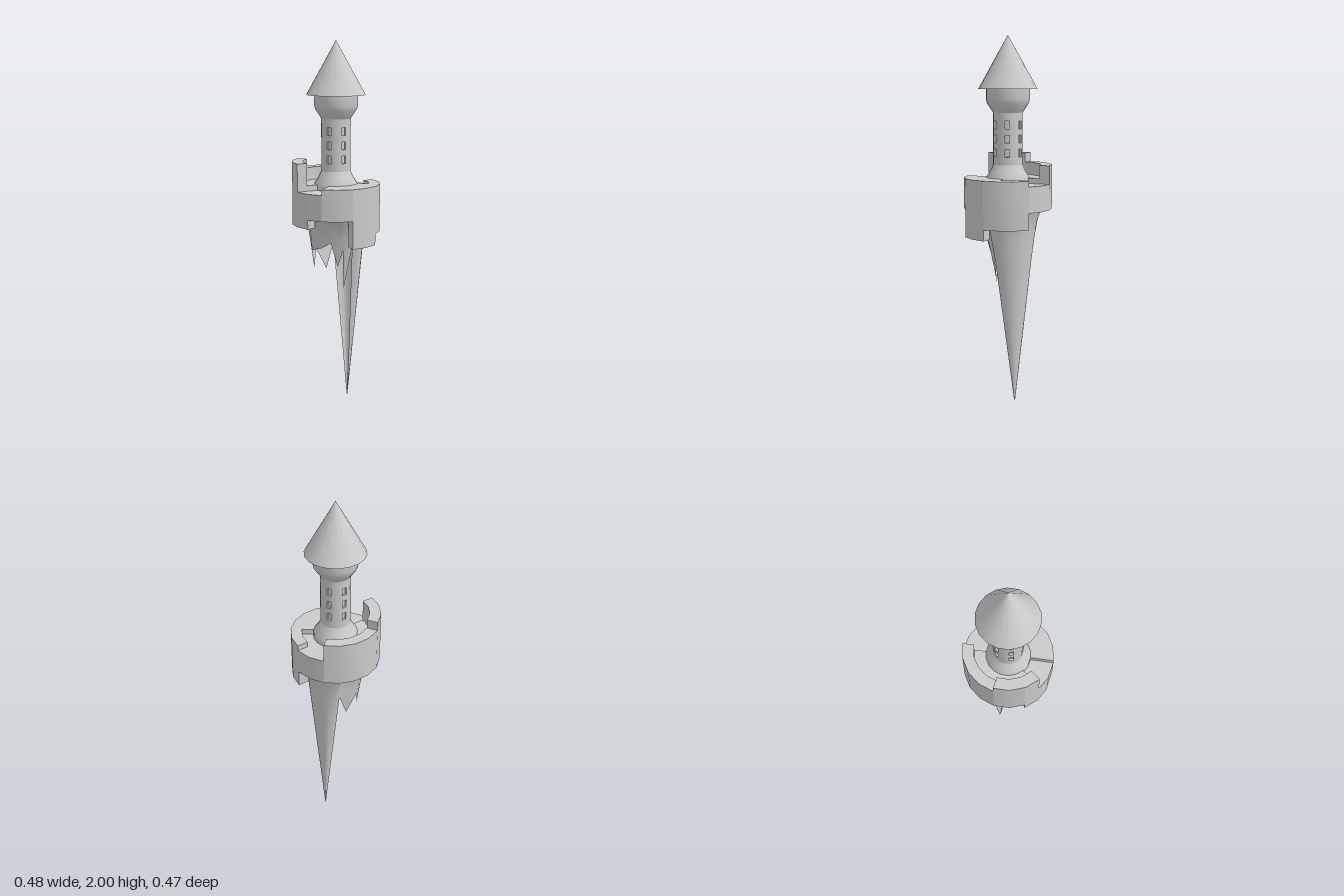
import * as THREE from 'three';
import { toCreasedNormals } from 'three/addons/utils/BufferGeometryUtils.js';

const SIDES = 18;
const rad = THREE.MathUtils.degToRad;
const grey = new THREE.MeshStandardMaterial({ color: 0xcccccc });
const greyThin = new THREE.MeshStandardMaterial({ color: 0xcccccc, side: THREE.DoubleSide });

function add(parent, name, geometry, material = grey) {
  const mesh = new THREE.Mesh(geometry, material);
  mesh.name = name;
  parent.add(mesh);
  return mesh;
}

// Faceted ring sector; angles in degrees from +x towards +z
function sector(a0, a1, r0, r1, y0, y1) {
  const pts = [];
  const point = (r, a) => pts.push(new THREE.Vector2(r * Math.cos(rad(a)), -r * Math.sin(rad(a))));
  for (let a = a0; a <= a1; a += 20) point(r1, a);
  for (let a = a1; a >= a0; a -= 20) point(r0, a);
  const geo = new THREE.ExtrudeGeometry(new THREE.Shape(pts), { depth: y1 - y0, bevelEnabled: false });
  geo.rotateX(-Math.PI / 2).translate(0, y0, 0);
  return toCreasedNormals(geo, 0.6);
}

// Surface of revolution with its corners on multiples of 20 degrees
function turned(profile, start = Math.PI / 2, length = Math.PI * 2, segments = SIDES) {
  const pts = profile.map(([r, y]) => new THREE.Vector2(r, y));
  return toCreasedNormals(new THREE.LatheGeometry(pts, segments, start, length), 0.6);
}

// Broken ring wall: [from, to, bottom, top]
function buildWall() {
  const wall = new THREE.Group();
  wall.name = 'ringWall';
  [
    [-40, 20, 0.98, 1.24], [20, 60, 0.92, 1.24], [60, 100, 1.07, 1.24],
    [100, 120, 1.07, 1.21], [120, 140, 1.02, 1.21], [140, 160, 1.02, 1.36],
    [160, 200, 1.07, 1.36], [200, 280, 1.07, 1.31], [280, 320, 1.07, 1.21],
  ].forEach(([a0, a1, y0, y1]) => add(wall, 'wallSection', sector(a0, a1, 0.18, 0.24, y0, y1)));
  // Floor slabs between wall and tower
  [
    [-80, 0, 1.21], [0, 100, 1.24], [100, 140, 1.21], [140, 280, 1.24],
  ].forEach(([a0, a1, y1]) => add(wall, 'floorSlab', sector(a0, a1, 0.1, 0.18, 1.07, y1)));
  return wall;
}

function buildTower() {
  const tower = new THREE.Group();
  tower.name = 'tower';
  const r = 0.08, y0 = 1.31, y1 = 1.59;
  add(tower, 'towerBase', turned([[0, 1.07], [0.118, 1.07], [0.118, 1.24], [0.095, 1.275], [r, y0]]));
  add(tower, 'towerHead', turned([[r, y1], [0.09, 1.605], [0.113, 1.64], [0.118, 1.66], [0.118, 1.72]]));
  add(tower, 'towerCore', new THREE.CylinderGeometry(0.068, 0.068, y1 - y0, SIDES).translate(0, (y0 + y1) / 2, 0));

  // Window panel: one facet with three openings
  const half = r * Math.sin(rad(10)), apothem = r * Math.cos(rad(10)), depth = 0.012;
  const rect = (Type, w, b, t) => new Type([[-w, b], [w, b], [w, t], [-w, t]].map(p => new THREE.Vector2(...p)));
  const shape = rect(THREE.Shape, half, y0, y1);
  for (const y of [1.375, 1.45, 1.525]) shape.holes.push(rect(THREE.Path, 0.0115, y - 0.021, y + 0.021));
  const panel = new THREE.ExtrudeGeometry(shape, { depth, bevelEnabled: false }).translate(0, 0, apothem - depth);
  // Round the shading of the outer face to match the shaft
  const pos = panel.attributes.position, nor = panel.attributes.normal;
  for (let i = 0; i < pos.count; i++) {
    if (nor.getZ(i) < 0.9) continue;
    const n = new THREE.Vector3(pos.getX(i), 0, apothem).normalize();
    nor.setXYZ(i, n.x, n.y, n.z);
  }
  for (let k = 0; k < 6; k++) {
    const a = 50 + 60 * k;
    add(tower, 'windowPanel', panel).rotation.y = rad(90 - a);
    // Plain shaft between two window columns, two facets
    const pts = [new THREE.Vector2(r, y0), new THREE.Vector2(r, y1)];
    add(tower, 'shaftPanel', new THREE.LatheGeometry(pts, 2, rad(90 - (a + 50)), rad(40)));
  }

  add(tower, 'roof', turned([[0, 1.715], [0.16, 1.715], [0, 2]]));
  return tower;
}

// Hollow rock shell: columns run from the rim down to a ragged edge
function buildRock() {
  const edge = [ // angle, radius, height of the ragged teeth
    [32, 0.115, 0.9], [45, 0.07, 0.66], [60, 0.1, 0.88], [75, 0.085, 0.79], [95, 0.12, 0.93],
    [118, 0.13, 0.9], [145, 0.145, 0.88], [177, 0.12, 0.76], [203, 0.13, 0.86],
    [228, 0.097, 0.74], [255, 0.12, 0.88],
  ].map(([a, r, y]) => [a, r * Math.cos(rad(a)), y, r * Math.sin(rad(a))]);
  // Long spike gathers many columns into one tip
  for (let a = 270; a <= 378; a += 12) {
    edge.push([a, 0.055 + 0.004 * Math.cos(rad(a)), 0, -0.05 + 0.004 * Math.sin(rad(a))]);
  }
  const rows = 12, n = edge.length, verts = [], index = [];
  edge.forEach(([a, x, y, z]) => {
    for (let j = 0; j <= rows; j++) {
      const s = (j / rows) ** 1.5;
      const h = THREE.MathUtils.lerp(1.08, y, s);
      const r = 0.165 + 0.025 * Math.max(0, (h - 0.98) / 0.1); // flared rim
      verts.push(
        THREE.MathUtils.lerp(r * Math.cos(rad(a)), x, s), h,
        THREE.MathUtils.lerp(r * Math.sin(rad(a)), z, s));
    }
  });
  for (let i = 0; i < n; i++) {
    for (let j = 0; j < rows; j++) {
      const p = i * (rows + 1) + j, q = ((i + 1) % n) * (rows + 1) + j;
      index.push(p, q, p + 1, q, q + 1, p + 1);
    }
  }
  const geo = new THREE.BufferGeometry();
  geo.setAttribute('position', new THREE.Float32BufferAttribute(verts, 3));
  geo.setIndex(index);
  geo.computeVertexNormals();
  return geo;
}

export function createModel() {
  const model = new THREE.Group();
  model.name = 'floatingTower';
  model.add(buildWall(), buildTower());
  add(model, 'rockShell', buildRock(), greyThin);
  return model;
}
